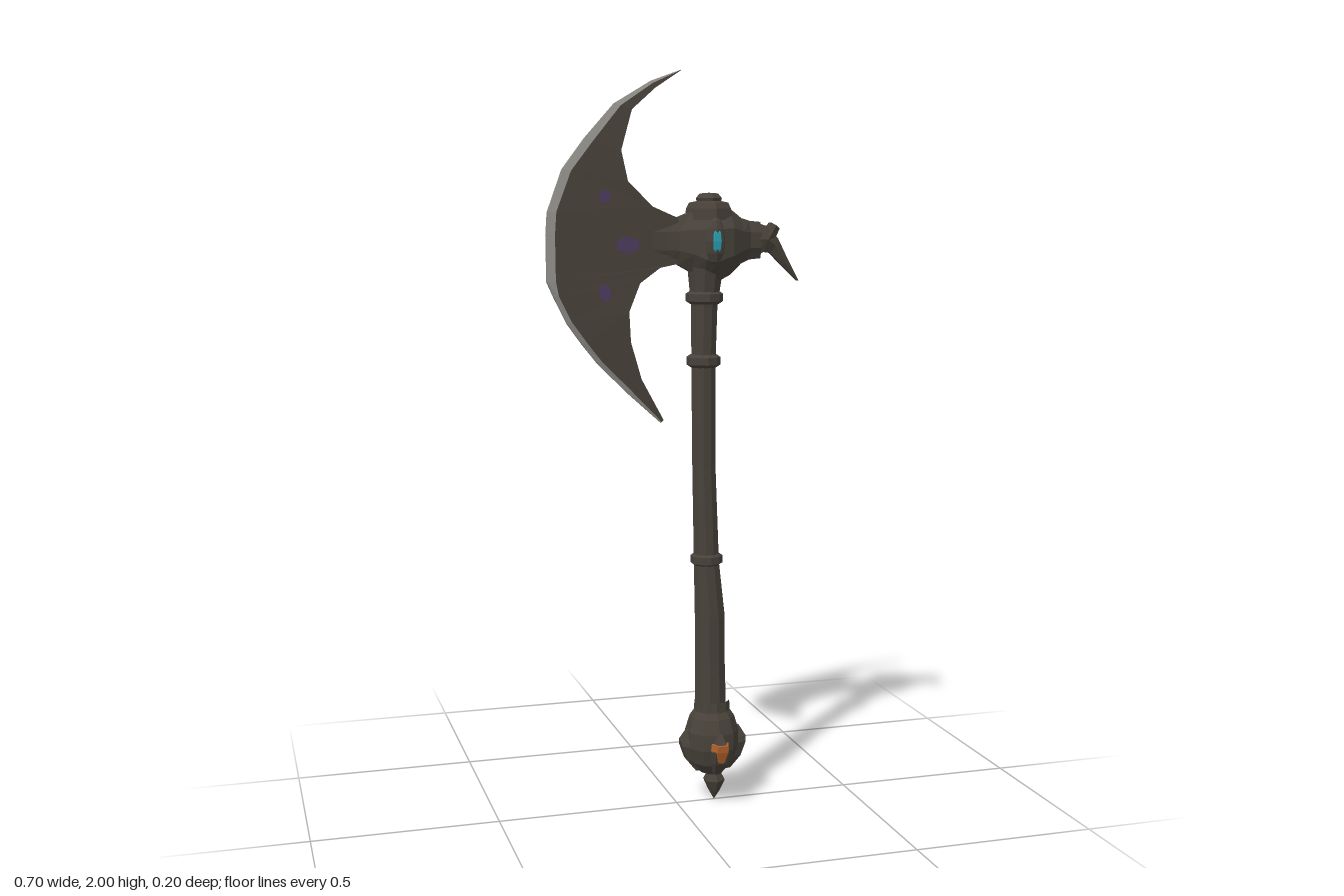
import * as THREE from 'three';

const mat = (name, color, side = THREE.FrontSide) => {
  const m = new THREE.MeshStandardMaterial({ color, flatShading: true, side });
  m.name = name;
  return m;
};

// Skin a list of equal-length point rings and cap both ends, facing outward
function loft(rings) {
  const tris = [], n = rings[0].length;
  for (let i = 0; i < rings.length - 1; i++) {
    for (let j = 0; j < n; j++) {
      const k = (j + 1) % n;
      const a = rings[i][j], b = rings[i][k], c = rings[i + 1][k], d = rings[i + 1][j];
      tris.push([a, b, c], [a, c, d]);
    }
  }
  const last = rings[rings.length - 1];
  for (let j = 1; j < n - 1; j++) {
    tris.push([rings[0][0], rings[0][j + 1], rings[0][j]], [last[0], last[j], last[j + 1]]);
  }
  const cross = new THREE.Vector3();
  const volume = tris.reduce((s, [a, b, c]) => s + a.dot(cross.crossVectors(b, c)), 0);
  if (volume < 0) tris.forEach((t) => t.reverse());
  const g = new THREE.BufferGeometry().setFromPoints(tris.flat());
  g.computeVertexNormals();
  return g;
}

const V = (x, y, z) => new THREE.Vector3(x, y, z);

export function createModel() {
  const group = new THREE.Group();
  const iron = mat('darkIron', 0x48423a);
  const steel = mat('edgeSteel', 0x8e8d88);
  const violet = mat('violetRune', 0x4b3c60);
  const purple = mat('purpleGem', 0x5a4480);
  const cyan = mat('cyanGem', 0x2a9db0);
  const orange = mat('orangeGem', 0xb4622c);

  const add = (name, geo, material, x = 0, y = 0, z = 0) => {
    const m = new THREE.Mesh(geo, material);
    m.name = name;
    m.position.set(x, y, z);
    group.add(m);
    return m;
  };
  const lathe = (pts, sides) => new THREE.LatheGeometry(pts.map(([r, y]) => new THREE.Vector2(r, y)), sides);

  // Crescent blade: outer x, y, inner x, y from the top horn to the bottom horn
  const rows = [
    [0.012, 2.0, 0.008, 1.996], [-0.07, 1.97, -0.06, 1.952], [-0.17, 1.91, -0.125, 1.895],
    [-0.25, 1.82, -0.155, 1.79], [-0.31, 1.74, -0.137, 1.71], [-0.35, 1.63, -0.07, 1.645],
    [-0.354, 1.57, 0.0, 1.615], [-0.353, 1.45, 0.0, 1.495], [-0.335, 1.41, -0.05, 1.485],
    [-0.3, 1.34, -0.105, 1.445], [-0.26, 1.285, -0.135, 1.37], [-0.22, 1.235, -0.13, 1.29],
    [-0.14, 1.155, -0.1, 1.19], [-0.045, 1.07, -0.038, 1.078],
  ];
  const body = [], edge = [];
  rows.forEach(([ox, oy, ix, iy], i) => {
    const end = Math.min(i, rows.length - 1 - i);
    const t = Math.min(1, 0.3 + end * 0.25);
    const len = Math.hypot(ix - ox, iy - oy);
    const w = Math.min(i < 8 ? 0.022 : 0.012, len * 0.35) / len;
    const bx = ox + (ix - ox) * w, by = oy + (iy - oy) * w;
    const zo = 0.006 * t, zb = 0.013 * t, zi = 0.016 * t;
    body.push([V(bx, by, zb), V(ix, iy, zi), V(ix, iy, -zi), V(bx, by, -zb)]);
    edge.push([V(ox, oy, zo), V(bx, by, zb), V(bx, by, -zb), V(ox, oy, -zo)]);
  });
  add('blade', loft(body), iron);
  add('bladeEdge', loft(edge), steel);

  // Painted runes on both faces of the blade
  for (const [x, y, w, h] of [[-0.2, 1.67, 0.017, 0.018], [-0.138, 1.545, 0.034, 0.023], [-0.2, 1.42, 0.017, 0.024]]) {
    for (const s of [1, -1]) {
      const rune = new THREE.CylinderGeometry(1, 1, 0.006, 6).rotateX(Math.PI / 2).scale(w, h, 1);
      add('bladeRune', rune, violet, x, y, s * 0.0145);
    }
  }

  // Head: octagonal sections along x as x, bottom, top, half depth
  const headSections = [
    [-0.1, 1.5, 1.61, 0.012], [-0.03, 1.497, 1.613, 0.02], [0.0, 1.493, 1.617, 0.026],
    [0.035, 1.475, 1.63, 0.046], [0.065, 1.45, 1.64, 0.064], [0.1, 1.445, 1.645, 0.073],
    [0.14, 1.465, 1.64, 0.064], [0.175, 1.495, 1.615, 0.04], [0.2, 1.505, 1.608, 0.023],
    [0.232, 1.508, 1.605, 0.02],
  ];
  add('head', loft(headSections.map(([x, lo, hi, d]) => {
    const c = (lo + hi) / 2, h = (hi - lo) / 2;
    return Array.from({ length: 8 }, (_, i) => {
      const a = ((i + 0.5) * Math.PI) / 4;
      return V(x, c + (h * Math.sin(a)) / 0.924, (d * Math.cos(a)) / 0.924);
    });
  })), iron);

  // Hooked beak behind the head: upper x, y, lower x, y, half depth
  const beak = [
    [0.22, 1.603, 0.215, 1.512, 0.02], [0.255, 1.592, 0.24, 1.525, 0.024],
    [0.283, 1.56, 0.262, 1.522, 0.017], [0.312, 1.505, 0.295, 1.488, 0.011], [0.346, 1.446, 0.338, 1.447, 0.003],
  ];
  add('beak', loft(beak.map(([ux, uy, lx, ly, d]) => {
    const mx = (ux + lx) / 2, my = (uy + ly) / 2;
    return [V(ux, uy, d * 0.5), V(mx, my, d), V(lx, ly, d * 0.5), V(lx, ly, -d * 0.5), V(mx, my, -d), V(ux, uy, -d * 0.5)];
  })), iron);
  const knuckle = add('beakKnuckle', new THREE.CylinderGeometry(0.017, 0.024, 0.045, 6), iron, 0.262, 1.577, 0);
  knuckle.rotation.z = -0.6;

  // Stepped cap on the head
  add('headCap', lathe([[0, 1.682], [0.025, 1.68], [0.036, 1.668], [0.034, 1.66], [0.054, 1.656],
    [0.062, 1.64], [0.065, 1.61]].reverse(), 7), iron, 0.09);

  // Framed gem on each cheek of the head
  for (const s of [1, -1]) {
    add('gemFrame', new THREE.SphereGeometry(1, 8, 6).scale(0.028, 0.063, 0.022), iron, 0.087, 1.555, s * 0.065);
    add('cheekGem', new THREE.SphereGeometry(1, 6, 6).scale(0.019, 0.043, 0.02), s > 0 ? cyan : purple, 0.087, 1.555, s * 0.07);
  }

  // Handle: slightly leaning shaft, x centre, y, radius
  const shaft = [[0.098, 0.24, 0.046], [0.096, 0.4, 0.043], [0.095, 0.53, 0.043], [0.085, 0.68, 0.036],
    [0.077, 0.95, 0.033], [0.075, 1.22, 0.034], [0.077, 1.38, 0.037], [0.08, 1.5, 0.052]];
  add('handle', loft(shaft.map(([x, y, r]) => Array.from({ length: 10 }, (_, i) => {
    const a = (i * Math.PI) / 5;
    return V(x + r * Math.cos(a), y, r * Math.sin(a));
  }))), iron);
  for (const [x, y, r] of [[0.085, 0.69, 0.044], [0.075, 1.235, 0.046], [0.077, 1.405, 0.05]]) {
    add('handleRing', lathe([[r - 0.012, -0.018], [r, -0.01], [r, 0.01], [r - 0.012, 0.018]], 10), iron, x, y, 0);
  }

  // Pommel bulb and bottom spike
  add('pommel', lathe([[0, 0.08], [0.035, 0.085], [0.06, 0.115], [0.074, 0.16], [0.074, 0.205],
    [0.062, 0.245], [0.05, 0.262], [0.048, 0.29]], 10), iron, 0.102);
  add('pommelSpike', lathe([[0, 0], [0.018, 0.03], [0.031, 0.058], [0.022, 0.075], [0.024, 0.095]], 6), iron, 0.109);

  // Four claws around the pommel; the front and back ones hold gems
  for (let i = 0; i < 4; i++) {
    const claw = new THREE.Group();
    claw.name = 'pommelClaw';
    claw.position.x = 0.104;
    claw.rotation.y = (i * Math.PI) / 2;
    const ring = (y, zIn, zOut, w) => [V(-w, y, zIn), V(w, y, zIn), V(w * 0.6, y, zOut), V(-w * 0.6, y, zOut)];
    const horn = new THREE.Mesh(loft([ring(0.09, 0.03, 0.05, 0.014), ring(0.125, 0.045, 0.078, 0.026),
      ring(0.165, 0.055, 0.092, 0.03), ring(0.18, 0.06, 0.094, 0.022), ring(0.21, 0.06, 0.076, 0.008)]), iron);
    horn.name = 'claw';
    claw.add(horn);
    if (i % 2 === 0) {
      const gem = new THREE.Mesh(loft([ring(0.132, 0.06, 0.086, 0.012), ring(0.165, 0.07, 0.097, 0.026),
        ring(0.184, 0.07, 0.099, 0.024)]), orange);
      gem.name = 'pommelGem';
      claw.add(gem);
    }
    group.add(claw);
  }
  return group;
}
